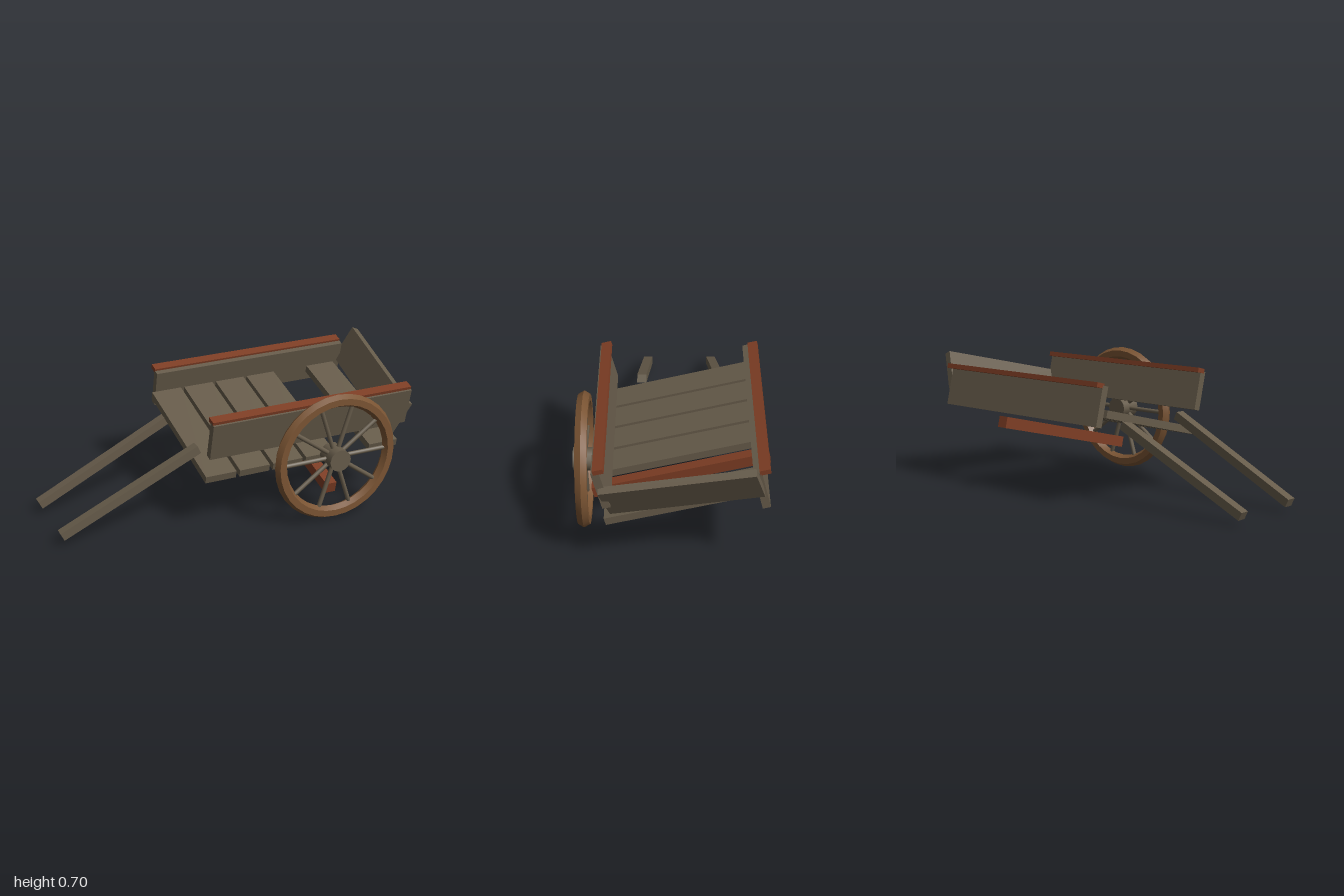
import * as THREE from 'three';
import { toCreasedNormals } from 'three/addons/utils/BufferGeometryUtils.js';

export function createModel() {
  const cart = new THREE.Group();
  cart.name = 'brokenCart';

  const material = (name, color) => {
    const m = new THREE.MeshStandardMaterial({ color });
    m.name = name;
    return m;
  };
  const greyWood = material('weathered wood', 0x665b4a);
  const redWood = material('red brown wood', 0x7d3d24);
  const rimWood = material('rim wood', 0x7a5433);

  const TILT = THREE.MathUtils.degToRad(14); // the cart leans on its missing wheel side
  const MID_Z = -0.043;

  const add = (parent, name, geometry, mat, x, y, z) => {
    const mesh = new THREE.Mesh(geometry, mat);
    mesh.name = name;
    mesh.position.set(x, y, z);
    parent.add(mesh);
    return mesh;
  };
  const plank = (name, w, h, d, mat, x, y, z) => {
    const mesh = add(cart, name, new THREE.BoxGeometry(w, h, d), mat, x, y, z);
    mesh.rotation.x = TILT;
    return mesh;
  };

  // Floor boards, with the fifth one missing
  for (let i = 0; i < 6; i++) {
    if (i === 4) continue;
    plank('floorBoard', 0.17, 0.04, 0.76, greyWood, -0.185 + i * 0.19, 0.393, MID_Z);
  }

  // Side boards and the rails on top of them
  for (const s of [1, -1]) {
    plank('sideBoard', 1.14, 0.21, 0.04, greyWood, 0.321, 0.521, MID_Z + s * 0.381);
    plank('sideRail', 1.14, 0.025, 0.052, redWood, 0.321, 0.63, MID_Z + s * 0.391);
  }

  // End board, leaning outwards
  const endBoard = plank('endBoard', 0.04, 0.21, 0.76, greyWood, 0.897, 0.52, MID_Z);
  endBoard.rotation.order = 'ZYX';
  endBoard.rotation.z = THREE.MathUtils.degToRad(-25);

  // Axle beam
  plank('axleBeam', 0.06, 0.06, 0.928, redWood, 0.41, 0.2675, MID_Z);

  // Pull shafts, resting on the ground and spreading towards the floor
  for (const s of [1, -1]) {
    const tip = new THREE.Vector3(-0.99, 0.055, -0.047 + s * 0.189);
    const root = new THREE.Vector3(-0.245, 0.41, -0.047 + s * 0.211);
    const along = root.clone().sub(tip);
    const mid = tip.clone().add(root).multiplyScalar(0.5);
    const shaft = add(cart, 'pullShaft', new THREE.BoxGeometry(along.length(), 0.045, 0.05),
      greyWood, mid.x, mid.y, mid.z);
    shaft.rotation.order = 'YZX';
    shaft.rotation.y = -Math.atan2(along.z, along.x);
    shaft.rotation.z = Math.atan2(along.y, Math.hypot(along.x, along.z));
  }

  // The remaining wheel
  const wheel = new THREE.Group();
  wheel.name = 'wheel';
  wheel.position.set(0.41, 0.352, 0.444);
  cart.add(wheel);
  add(wheel, 'wheelRim', toCreasedNormals(new THREE.TorusGeometry(0.314, 0.034, 6, 32), 0.6),
    rimWood, 0, 0, 0);
  const hub = add(wheel, 'wheelHub', new THREE.CylinderGeometry(0.06, 0.06, 0.115, 12),
    greyWood, 0, 0, 0);
  hub.rotation.x = Math.PI / 2;
  for (let i = 0; i < 10; i++) {
    const a = (i / 10) * Math.PI * 2;
    const spoke = add(wheel, 'wheelSpoke', new THREE.CylinderGeometry(0.012, 0.012, 0.26, 8),
      greyWood, Math.cos(a) * 0.17, Math.sin(a) * 0.17, 0);
    spoke.rotation.z = a - Math.PI / 2;
  }

  return cart;
}
